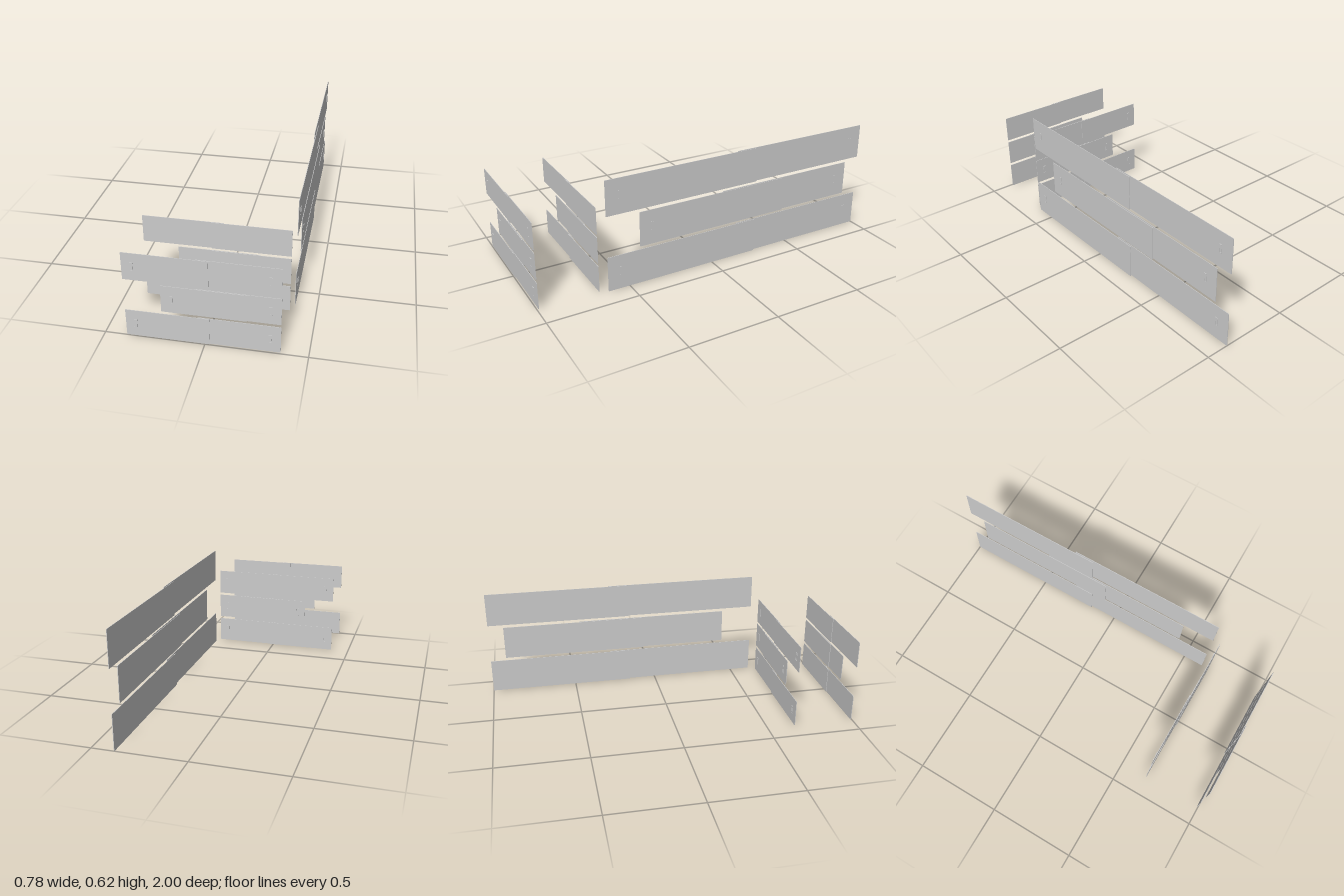
import * as THREE from 'three';

const material = new THREE.MeshStandardMaterial({ color: 0xcccccc });
const THICK = 0.003;

// Thin board with slightly softened corners, centred on its own origin
function boardGeometry(w, h) {
  const r = 0.003, x = w / 2, y = h / 2;
  const s = new THREE.Shape();
  s.moveTo(-x + r, -y);
  s.lineTo(x - r, -y); s.quadraticCurveTo(x, -y, x, -y + r);
  s.lineTo(x, y - r); s.quadraticCurveTo(x, y, x - r, y);
  s.lineTo(-x + r, y); s.quadraticCurveTo(-x, y, -x, y - r);
  s.lineTo(-x, -y + r); s.quadraticCurveTo(-x, -y, -x + r, -y);
  return new THREE.ExtrudeGeometry(s, { depth: THICK, bevelEnabled: false, curveSegments: 3 })
    .translate(0, 0, -THICK / 2);
}

function addBox(parent, name, w, h, d, x, y, z) {
  const mesh = new THREE.Mesh(new THREE.BoxGeometry(w, h, d), material);
  mesh.name = name;
  mesh.position.set(x, y, z);
  parent.add(mesh);
}

// Small pull: flat plate, a raised lip on the inner side and two short arms
function makePull(inward, depth) {
  const pull = new THREE.Group();
  pull.name = 'pull';
  const w = 0.016, h = 0.046;
  addBox(pull, 'pullPlate', w, h, depth * 0.5, 0, 0, depth * 0.25);
  addBox(pull, 'pullLip', 0.005, h, depth, inward * (w / 2 - 0.0025), 0, depth / 2);
  for (const s of [-1, 1]) {
    addBox(pull, 'pullArm', w, 0.003, depth, 0, s * (h / 2 - 0.0015), depth / 2);
  }
  return pull;
}

// One board from u0 to u1, facing local +z, with a pull near its outer end
function makePanel(name, u0, u1, y0, h, z, pullU, pullY, inward, pullDepth) {
  const panel = new THREE.Group();
  panel.name = name;
  const board = new THREE.Mesh(boardGeometry(u1 - u0, h), material);
  board.name = 'board';
  board.position.set((u0 + u1) / 2, y0 + h / 2, z);
  const pull = makePull(inward, pullDepth);
  pull.position.set(pullU, y0 + pullY, z + THICK / 2);
  panel.add(board, pull);
  return panel;
}

// Short stack: three rows, each an outer sliding panel lapping a fixed one.
// The flipped stack carries its outer panels and pulls on the rear.
function makeShortStack(name, flipped) {
  const stack = new THREE.Group();
  stack.name = name;
  const f = flipped ? -1 : 1;
  const span = (a, b) => (flipped ? [-b, -a] : [a, b]);
  [0, 0.1645, 0.3285].forEach((y, row) => {
    const shift = row === 1 ? 0.181 : 0;
    stack.add(
      makePanel('outerPanel', ...span(-0.39 + shift, 0.024 + shift), y, 0.149, 0,
        f * (-0.34 + shift), 0.075, f, 0.0035),
      makePanel('innerPanel', ...span(-0.037, 0.366), y, 0.149, -0.005,
        f * 0.3145, 0.075, -f, 0.0035));
  });
  if (flipped) stack.rotation.y = Math.PI;
  return stack;
}

// Long side stack, built along local x and turned to face +x
function makeLongStack() {
  const stack = new THREE.Group();
  stack.name = 'sideStack';
  [0, 0.212, 0.425].forEach((y, row) => {
    const mid = row === 1;
    const outer = mid ? 0.435 : 0.62;   // front end of the outer panel
    const inner = mid ? -0.91 : -1;     // rear end of the inner panel
    stack.add(
      makePanel('outerPanel', -outer, -outer + 0.895, y, 0.195, 0.3865,
        -outer + 0.07, 0.104, 1, 0.0025),
      makePanel('innerPanel', -inner - 0.842, -inner, y, 0.195, 0.3768,
        -inner - 0.075, 0.104, -1, 0.0035));
  });
  stack.rotation.y = Math.PI / 2;
  return stack;
}

export function createModel() {
  const model = new THREE.Group();
  model.name = 'slidingPanels';
  const front = makeShortStack('frontStack', false);
  front.position.z = 0.995;
  const rear = makeShortStack('rearStack', true);
  rear.position.z = 0.659;
  model.add(front, rear, makeLongStack());
  return model;
}
